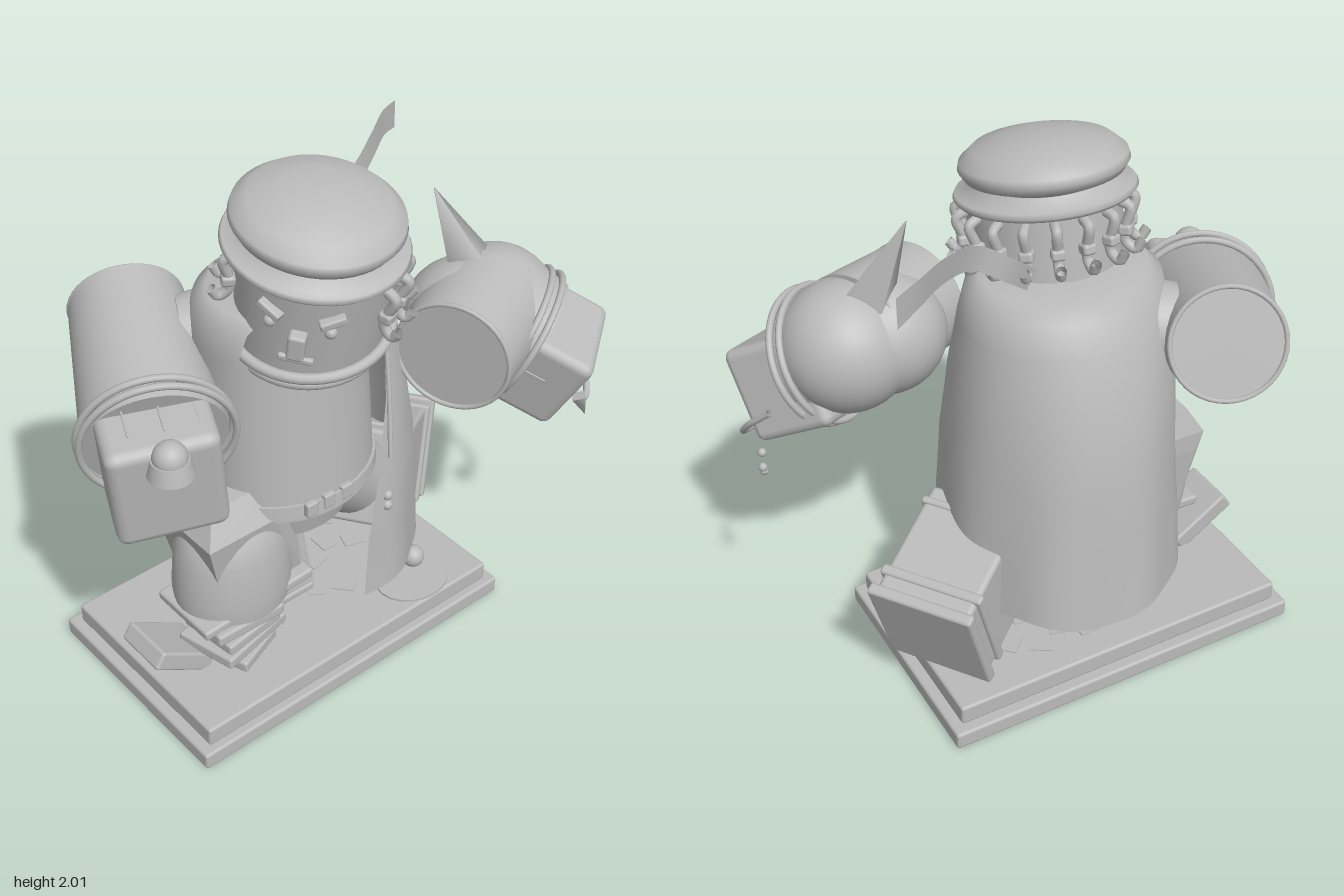
import * as THREE from 'three';
import { RoundedBoxGeometry } from 'three/addons/geometries/RoundedBoxGeometry.js';
import { ConvexGeometry } from 'three/addons/geometries/ConvexGeometry.js';

const V = (x, y, z) => new THREE.Vector3(x, y, z);
const RAD = Math.PI / 180;

export function createModel() {
  const root = new THREE.Group();
  const grey = new THREE.MeshStandardMaterial({ color: 0xbababa, side: THREE.DoubleSide });
  grey.name = 'grey';

  const add = (name, geo, x = 0, y = 0, z = 0, parent = root) => {
    const m = new THREE.Mesh(geo, grey);
    m.name = name;
    m.position.set(x, y, z);
    parent.add(m);
    return m;
  };
  const box = (w, h, d, r = 0.012) => new RoundedBoxGeometry(w, h, d, 2, r);
  // turn an object's +z along a direction
  const aim = (o, dir, up = V(0, 1, 0)) => {
    o.up.copy(up);
    o.lookAt(o.position.clone().add(dir));
    return o;
  };
  // cylinder between two points
  const rod = (name, a, b, ra, rb, sides = 32) => {
    const m = add(name, new THREE.CylinderGeometry(rb, ra, a.distanceTo(b), sides));
    m.position.copy(a).add(b).multiplyScalar(0.5);
    m.quaternion.setFromUnitVectors(V(0, 1, 0), b.clone().sub(a).normalize());
    return m;
  };
  // grid surface from rows of points
  const loft = (rows) => {
    const n = rows[0].length, idx = [];
    for (let i = 0; i < rows.length - 1; i++)
      for (let j = 0; j < n - 1; j++) {
        const a = i * n + j, b = a + n;
        idx.push(a, a + 1, b, b, a + 1, b + 1);
      }
    const g = new THREE.BufferGeometry().setFromPoints(rows.flat());
    g.setIndex(idx);
    g.computeVertexNormals();
    return g;
  };
  // faceted block from rectangles: y, x range, z range
  const block = (rects) => new ConvexGeometry(rects.flatMap(([y, x0, x1, z0, z1]) =>
    [V(x0, y, z0), V(x1, y, z0), V(x1, y, z1), V(x0, y, z1)]));
  const tube = (pts, r, seg = 24) => new THREE.TubeGeometry(new THREE.CatmullRomCurve3(pts), seg, r, 8);
  const lathe = (pts, sides = 48) => new THREE.LatheGeometry(pts.map(p => new THREE.Vector2(...p)), sides);

  // stepped base
  add('baseLower', box(1.45, 0.07, 0.91), -0.125, 0.035, -0.085);
  add('baseUpper', box(1.37, 0.08, 0.84), -0.125, 0.11, -0.08);
  for (let i = 0; i < 10; i++) {
    const s = add('flagstone', new THREE.BoxGeometry(0.09, 0.006, 0.07),
      -0.05 + (i % 4) * 0.1, 0.152, -0.35 + Math.floor(i / 4) * 0.18 + (i % 2) * 0.06);
    s.rotation.y = i * 1.3;
  }
  add('puddle', new THREE.CylinderGeometry(0.13, 0.13, 0.009, 20), 0.28, 0.154, 0.21).scale.x = 1.2;
  add('ball', new THREE.SphereGeometry(0.045, 16, 12), 0.33, 0.2, 0.16);

  // torso under the cloak
  const torso = add('torso', new THREE.CylinderGeometry(0.3, 0.34, 0.68, 40), -0.12, 1.08, -0.06);
  torso.scale.z = 0.83;
  const belt = add('belt', new THREE.CylinderGeometry(0.345, 0.35, 0.05, 40), -0.12, 0.79, -0.06);
  belt.scale.z = 0.84;
  for (let i = 0; i < 3; i++) add('buckle', box(0.05, 0.06, 0.03, 0.008), -0.24 + i * 0.08, 0.8, 0.22);
  const tunic = add('tunic', new THREE.CylinderGeometry(0.3, 0.24, 0.2, 24), -0.1, 0.67, -0.08);
  tunic.scale.z = 0.8;

  // cloak: y, centre x, centre z, radius x, radius z, opening angles
  const rings = [
    [0.4, -0.04, -0.12, 0.44, 0.49, -8, -105],
    [0.65, -0.045, -0.11, 0.43, 0.47, -5, -98],
    [0.92, -0.05, -0.1, 0.41, 0.455, 1, -85],
    [1.2, -0.065, -0.1, 0.395, 0.41, 14, -78],
    [1.42, -0.085, -0.08, 0.375, 0.345, 25, -65],
    [1.53, -0.09, -0.07, 0.35, 0.305, 25, -60],
    [1.57, -0.095, -0.06, 0.3, 0.265, 25, -55],
    [1.58, -0.1, 0, 0.18, 0.18, 25, -50]];
  add('cloak', loft(rings.map(([y, cx, cz, rx, rz, a, b], k) => {
    const row = [];
    for (let j = 0; j <= 72; j++) {
      const t = (a + (360 + b - a) * j / 72) * RAD;
      const w = 1 + 0.02 * Math.sin(t * 8) * Math.max(0, 1 - k / 4);
      row.push(V(cx + Math.sin(t) * rx * w, y + (k ? 0 : 0.012 * Math.sin(t * 6)), cz + Math.cos(t) * rz * w));
    }
    return row;
  })));
  add('lapel', tube([V(0.07, 1.4, 0.25), V(0.045, 1.2, 0.3), V(0.015, 0.98, 0.35)], 0.009));
  for (let i = 0; i < 2; i++) add('tassel', new THREE.SphereGeometry(0.02, 12, 8), 0, 0.82 - i * 0.045, 0.355);

  // head leans forward and faces its right
  const head = new THREE.Group();
  head.name = 'head';
  head.position.set(-0.11, 1.6, 0.08);
  head.rotation.x = 0.18;
  root.add(head);
  add('skull', new THREE.CylinderGeometry(0.275, 0.255, 0.36, 40), 0, 0.01, 0, head);
  [[0.28, -0.13], [0.255, -0.18]].forEach(([r, y]) => {
    const c = add('collarRing', new THREE.TorusGeometry(r, 0.02, 10, 48), 0, y, 0, head);
    c.rotation.set(Math.PI / 2, 0.13, 0);
  });
  add('brim', lathe([[0.25, 0.17], [0.305, 0.175], [0.318, 0.19], [0.31, 0.205], [0.28, 0.205], [0.25, 0.24]]),
    0, 0, -0.02, head);
  add('hatTop', lathe([[0, 0.22], [0.2, 0.225], [0.275, 0.255], [0.294, 0.285], [0.288, 0.31], [0.24, 0.352],
    [0.14, 0.382], [0.06, 0.392], [0, 0.394]]), 0, 0, -0.025, head);
  // curls round the back of the head
  for (let i = 0; i < 12; i++) {
    const curl = new THREE.Group();
    curl.name = 'curl';
    curl.rotation.y = (15 + i * 20.5) * RAD;
    head.add(curl);
    add('curlStrand', tube([V(0, 0.15, 0.27), V(0, 0.13, 0.31), V(0, 0.06, 0.29), V(0, 0.01, 0.285), V(0, -0.02, 0.32), V(0, 0.01, 0.345)], 0.019), 0, 0, 0, curl);
    add('curlBead', box(0.05, 0.04, 0.05), 0, 0.05, 0.29, curl);
  }
  const face = new THREE.Group();
  face.name = 'face';
  face.rotation.y = -50 * RAD;
  head.add(face);
  add('nose', box(0.06, 0.1, 0.06), 0, -0.01, 0.28, face);
  add('mouth', box(0.12, 0.025, 0.03, 0.008), 0, -0.09, 0.255, face);
  for (const s of [-1, 1]) {
    const brow = add('brow', box(0.09, 0.03, 0.05, 0.008), s * 0.1, 0.1, 0.255, face);
    brow.rotation.set(0, s * 0.4, s * 0.35);
    add('eye', new THREE.SphereGeometry(0.022, 10, 8), s * 0.1, 0.045, 0.25, face);
  }

  // ribbon streaming behind
  const path = new THREE.CatmullRomCurve3([V(0.08, 1.61, -0.15), V(0.18, 1.69, -0.18), V(0.3, 1.77, -0.18), V(0.45, 1.81, -0.26), V(0.58, 1.815, -0.35), V(0.68, 1.8, -0.4)]);
  const pts = path.getPoints(24);
  add('ribbon', loft([-1, 1].map(s => pts.map((p, i) => V(p.x - s * 0.02 * (1 - i / 24), p.y + s * (0.035 + 0.02 * i / 24), p.z)))));

  // right arm
  const rDir = V(-0.4, -0.12, 0.9).normalize();
  rod('rightSleeve', V(-0.47, 1.39, -0.52), V(-0.71, 1.2, -0.02), 0.205, 0.25);
  aim(add('rightSleeveRim', new THREE.TorusGeometry(0.2, 0.009, 8, 40), -0.47, 1.39, -0.52), V(-0.24, -0.19, 0.5));
  rod('rightShoulder', V(-0.42, 1.36, -0.28), V(-0.12, 1.36, -0.12), 0.14, 0.2);
  aim(add('rightHand', box(0.385, 0.42, 0.38, 0.04), -0.725, 1.165, 0.015), rDir, V(-0.08, 1, 0));
  for (const d of [0, 0.045])
    aim(add('rightCuff', new THREE.TorusGeometry(0.265, 0.013, 8, 48), -0.69 - d * 0.4, 1.205, -0.05 + d), V(-0.42, -0.2, 0.85));
  for (let i = 0; i < 3; i++)
    aim(add('rightFingerGroove', box(0.008, 0.008, 0.12, 0.003), -0.86 + i * 0.11, 1.375, 0.04 + i * 0.045), rDir);
  add('knob', new THREE.SphereGeometry(0.06, 20, 14), -0.81, 1.32, 0.215);
  add('knobFoot', new THREE.CylinderGeometry(0.065, 0.08, 0.06, 20), -0.81, 1.285, 0.215);

  // left arm
  const lDir = V(0.5, -0.4, 0.6).normalize();
  rod('leftSleeve', V(0.26, 1.315, 0.38), V(0.56, 1.32, 0.235), 0.212, 0.235);
  add('leftUpperSleeve', new THREE.SphereGeometry(0.225, 32, 20), 0.46, 1.315, 0.23);
  add('leftElbow', new THREE.SphereGeometry(0.24, 32, 20), 0.6, 1.3, 0.235);
  rod('leftForearm', V(0.59, 1.3, 0.24), V(0.68, 1.21, 0.36), 0.24, 0.225);
  aim(add('leftSleeveRim', new THREE.TorusGeometry(0.207, 0.009, 8, 40), 0.26, 1.315, 0.38), V(0.9, 0, -0.43));
  for (const d of [0, 0.04])
    aim(add('leftCuff', new THREE.TorusGeometry(0.245, 0.013, 8, 48), 0.645 + d * 0.65, 1.235 - d * 0.5, 0.315 + d * 0.7), lDir);
  aim(add('leftHand', box(0.36, 0.35, 0.34, 0.035), 0.72, 1.145, 0.365), lDir, V(-0.22, 1, 0));
  for (let i = 0; i < 3; i++)
    aim(add('leftFingerGroove', box(0.008, 0.008, 0.12, 0.003), 0.57 + i * 0.01, 1.15 - i * 0.07, 0.47 - i * 0.03), lDir);
  rod('spike', V(0.53, 1.47, 0.19), V(0.41, 1.8, 0.1), 0.105, 0.002, 4);
  add('bracelet', tube([V(0.82, 0.92, 0.48), V(0.88, 0.9, 0.48), V(0.95, 0.94, 0.41), V(0.95, 1.02, 0.33), V(0.9, 1.1, 0.25)], 0.012));
  rod('charm', V(0.82, 0.95, 0.5), V(0.84, 0.87, 0.52), 0.035, 0.002, 4);
  for (let i = 0; i < 3; i++) add('bead', new THREE.SphereGeometry(0.016, 10, 8), 0.95 + (i % 2) * 0.012, 0.89 + i * 0.04, 0.22 - (i % 2) * 0.03);

  // left leg stretched back, with banded block boot
  const boot = new THREE.Group();
  boot.name = 'leftBoot';
  boot.position.set(0.595, 0.37, -0.325);
  root.add(boot);
  aim(boot, V(0.77, -0.33, -0.54), V(0.12, 0.41, -0.08));
  add('bootBlock', box(0.37, 0.4, 0.48, 0.02), 0, 0, -0.25, boot);
  add('bootSole', box(0.41, 0.43, 0.045), 0, 0, -0.022, boot);
  add('bootBand', box(0.4, 0.42, 0.04), 0, 0, -0.11, boot);
  add('bootTop', box(0.39, 0.42, 0.03), 0, 0, -0.42, boot);
  rod('leftThigh', V(0.22, 0.53, -0.08), V(0, 0.75, -0.08), 0.16, 0.2);

  // right leg: faceted trouser block over a rounded shin
  add('trouserBlock', block([
    [0.87, -0.57, -0.29, -0.17, 0.08], [0.76, -0.635, -0.35, -0.2, 0.15],
    [0.68, -0.6, -0.19, -0.2, 0.06], [0.42, -0.55, -0.19, -0.18, 0.1]]));
  add('rightShin', lathe([[0.225, 0.36], [0.235, 0.45], [0.22, 0.62], [0.185, 0.73], [0.12, 0.77], [0, 0.78]], 32),
    -0.43, 0, -0.01).scale.z = 0.85;
  add('trouserFlap', block([[0.62, -0.26, -0.16, -0.12, 0.06], [0.27, -0.34, -0.12, -0.17, 0.09]]));
  add('flapHem', box(0.26, 0.035, 0.27), -0.25, 0.27, -0.04);
  const hem = add('shinHem', box(0.5, 0.04, 0.3), -0.42, 0.39, 0);
  hem.rotation.z = 0.06;
  [[0.3, 0.34], [0.26, 0.29], [0.33, 0.24], [0.22, 0.18]].forEach(([w, y], i) => {
    const s = add('ankleWrap', box(w, 0.048, 0.25), -0.48, y, 0.05);
    s.rotation.set(0, i * 0.12, (i % 2 ? 1 : -1) * 0.03);
  });
  const toe = add('rightFootPlate', box(0.27, 0.075, 0.22), -0.715, 0.23, -0.03);
  toe.rotation.z = -0.58;

  return root;
}
